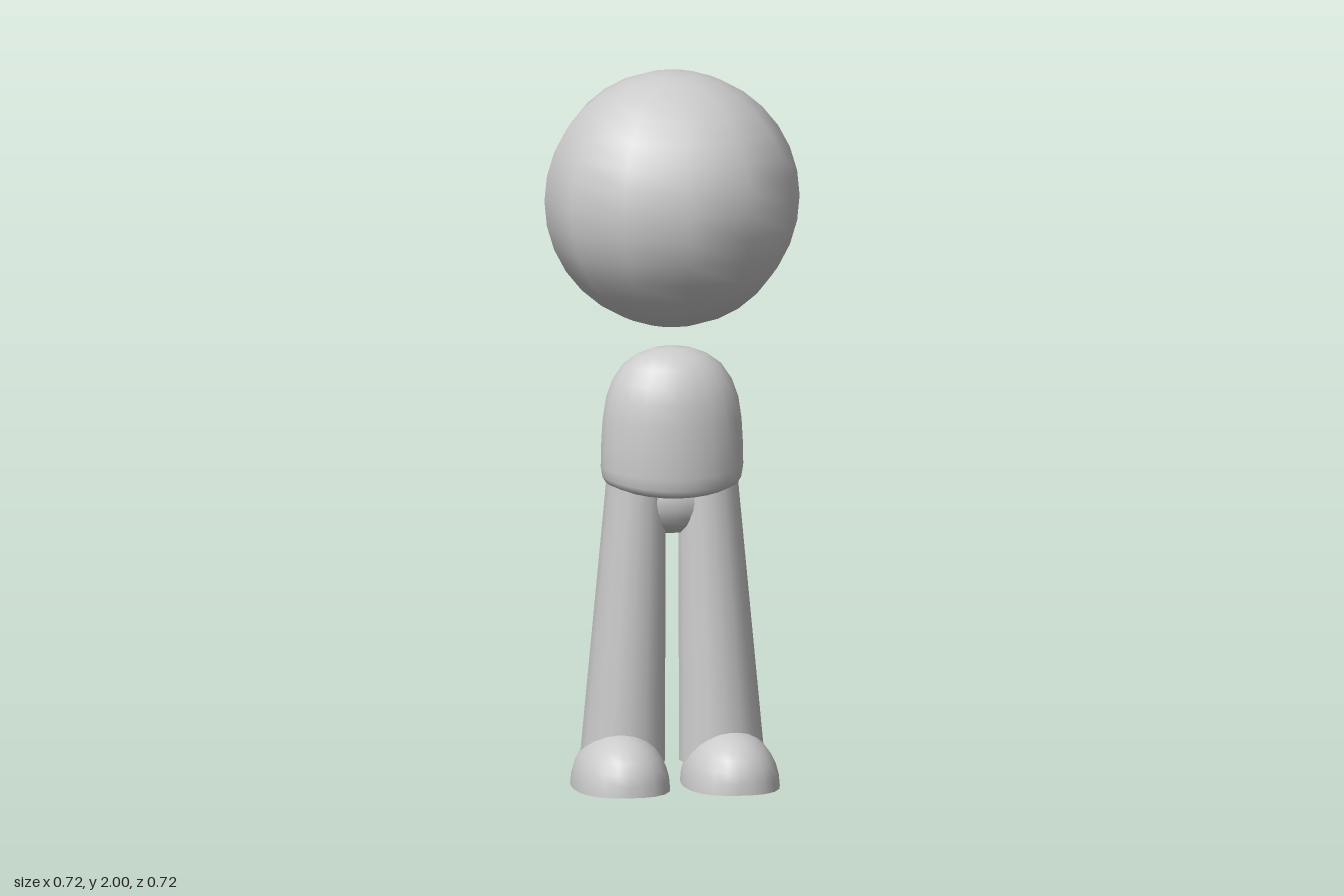
import * as THREE from 'three';

const grey = new THREE.MeshStandardMaterial({ color: 0xcccccc });

function part(name, geometry, parent) {
  const mesh = new THREE.Mesh(geometry, grey);
  mesh.name = name;
  parent.add(mesh);
  return mesh;
}

// Moves every vertex of a geometry by a rule
function reshape(geometry, rule) {
  const p = geometry.attributes.position;
  const v = new THREE.Vector3();
  for (let i = 0; i < p.count; i++) {
    rule(v.fromBufferAttribute(p, i));
    p.setXYZ(i, v.x, v.y, v.z);
  }
  return geometry;
}

function ellipsoid(rx, ry, rz, x, y, z) {
  return new THREE.SphereGeometry(1, 16, 12).scale(rx, ry, rz).translate(x, y, z);
}

// Domed body with a rounded hem that rises towards the hips
function torsoGeometry() {
  const profile = [
    [0, 0.835], [0.14, 0.822], [0.165, 0.818], [0.185, 0.824], [0.195, 0.84], [0.2, 0.875], [0.199, 0.95],
    [0.195, 1.02], [0.186, 1.08], [0.168, 1.13], [0.138, 1.175], [0.1, 1.203], [0.055, 1.22], [0, 1.225],
  ].map(([r, y]) => new THREE.Vector2(r, y));
  const g = new THREE.LatheGeometry(profile, 24);
  reshape(g, (v) => {
    const low = THREE.MathUtils.clamp((0.95 - v.y) / 0.12, 0, 1);
    v.y += 0.025 * low * (v.x / 0.2) ** 2;
    v.z *= 0.785;
  });
  // keep the seamless lathe normals, squashed to match the depth
  const n = g.attributes.normal;
  for (let i = 0; i < n.count; i++) {
    const d = new THREE.Vector3(n.getX(i), n.getY(i), n.getZ(i) / 0.785).normalize();
    n.setXYZ(i, d.x, d.y, d.z);
  }
  return g;
}

// Tapered leg leaning outwards towards the foot
function legGeometry(side) {
  const top = 0.87, bottom = 0.06;
  const g = new THREE.CylinderGeometry(0.083, 0.12, top - bottom, 16, 6);
  g.translate(0, (top + bottom) / 2, 0);
  return reshape(g, (v) => {
    const t = (top - v.y) / (top - bottom);
    v.x += side * (0.1 + 0.04 * t);
    v.z *= 1.1 - 0.1 * t;
  });
}

// Shoe dome, fuller along its length and longer at the toe, with a flat sole
function footGeometry() {
  const g = new THREE.SphereGeometry(1, 24, 16);
  const power = 2.6;
  reshape(g, (v) => {
    const y = Math.max(v.y, 0);
    const across = Math.hypot(v.x, y);
    const flat = Math.hypot(v.x, y, v.z);
    if (v.y >= 0) {
      const s = (across ** power + Math.abs(v.z) ** power) ** (-1 / power);
      v.set(v.x * s, y * s, v.z * s);
    } else {
      const s = flat * (Math.abs(v.x / flat) ** power + Math.abs(v.z / flat) ** power) ** (-1 / power) / flat;
      v.set(v.x * s, 0, v.z * s);
    }
    const heel = v.z < 0 ? 1 + 0.08 * v.z : 1;
    v.set(v.x * 0.135 * heel, v.y * 0.155 * heel, 0.048 + v.z * 0.217);
  });
  return g;
}

// Splits the foot into a smooth upper and a flat sole sharing one rim
function addFoot(parent, side) {
  const full = footGeometry();
  const p = full.attributes.position;
  const upper = full.clone();
  const idx = Array.from(full.index.array);
  const kept = [];
  for (let i = 0; i < idx.length; i += 3) {
    const tri = idx.slice(i, i + 3);
    if (tri.some((k) => p.getY(k) > 1e-5)) kept.push(...tri);
  }
  upper.setIndex(kept);
  upper.computeVertexNormals();
  upper.translate(side * 0.154, 0, 0);
  part('footUpper', upper, parent);

  const rim = [];
  for (let i = 0; i < 24; i++) {
    const k = 8 * 25 + i;
    rim.push(new THREE.Vector2(p.getX(k), p.getZ(k)));
  }
  const sole = new THREE.ShapeGeometry(new THREE.Shape(rim));
  sole.rotateX(Math.PI / 2).translate(side * 0.154, 0, 0);
  part('sole', sole, parent);
}

export function createModel() {
  const model = new THREE.Group();
  model.name = 'figure';

  part('head', new THREE.SphereGeometry(0.358, 12, 16).translate(0, 1.642, 0), model);
  part('torso', torsoGeometry(), model);
  part('pelvis', ellipsoid(0.14, 0.095, 0.08, 0, 0.795, 0), model);

  for (const [label, side] of [['left', 1], ['right', -1]]) {
    const limb = new THREE.Group();
    limb.name = label + 'Limb';
    part(label + 'Leg', legGeometry(side), limb);
    part(label + 'Buttock', ellipsoid(0.078, 0.08, 0.08, side * 0.095, 0.78, -0.04), limb);
    addFoot(limb, side);
    model.add(limb);
  }
  return model;
}
